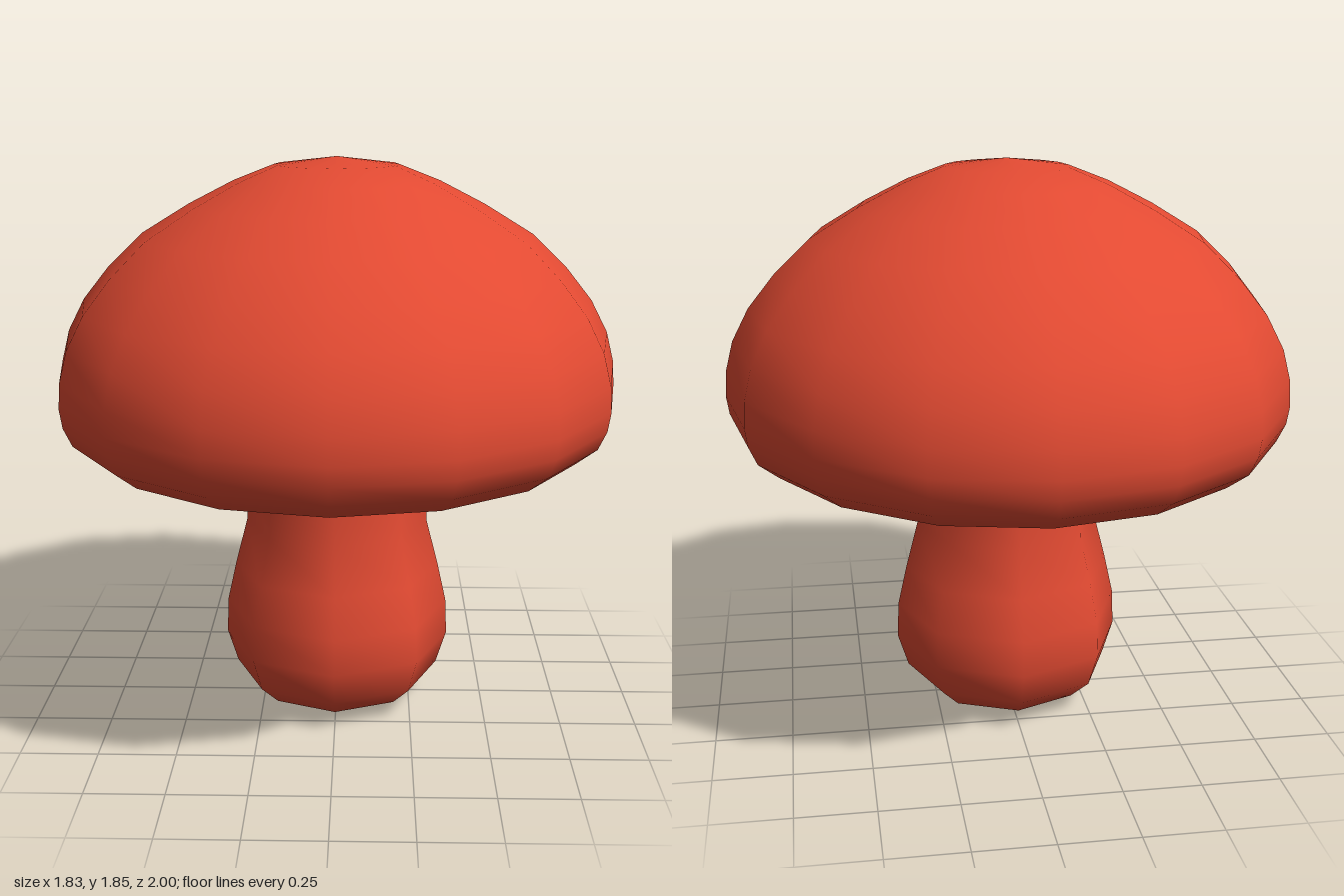
import * as THREE from 'three';

const material = new THREE.MeshStandardMaterial({ color: 0xe24a32 });

// Smooth surface of revolution from [radius, height] pairs, listed bottom to top
function turned(name, profile, sides) {
  const geometry = new THREE.LatheGeometry(profile.map(([r, y]) => new THREE.Vector2(r, y)), sides);
  const mesh = new THREE.Mesh(geometry, material);
  mesh.name = name;
  return mesh;
}

export function createModel() {
  const model = new THREE.Group();
  model.name = 'mushroom';

  // Cap: recessed underside, rounded rim and dome, slightly narrower in x
  const cap = turned('cap', [
    [0, 1.07], [0.27, 1.05], [0.37, 0.99], [0.5, 0.91], [0.6, 0.896],
    [0.745, 0.895], [0.885, 0.925], [0.96, 0.98], [0.99, 1.04], [1, 1.1],
    [0.995, 1.18], [0.967, 1.28], [0.907, 1.385], [0.815, 1.49], [0.69, 1.6],
    [0.52, 1.695], [0.36, 1.77], [0.22, 1.82], [0, 1.845],
  ], 16);
  cap.geometry.scale(0.915, 1, 1);
  model.add(cap);

  // Stem: eight-sided, bulging near the foot
  const stem = turned('stem', [
    [0, 0], [0.275, 0.045], [0.345, 0.11], [0.38, 0.22], [0.375, 0.34],
    [0.345, 0.475], [0.305, 0.63], [0.3, 0.8], [0.29, 0.95], [0.27, 1.06],
  ], 8);

  // The neck narrows in x and flares in z as it enters the cap
  const p = stem.geometry.attributes.position;
  for (let i = 0; i < p.count; i++) {
    const t = Math.max(0, p.getY(i) - 0.8);
    p.setX(i, p.getX(i) * (1 - 0.6 * t));
    p.setZ(i, p.getZ(i) * (1 + 0.9 * t));
  }
  model.add(stem);

  return model;
}
